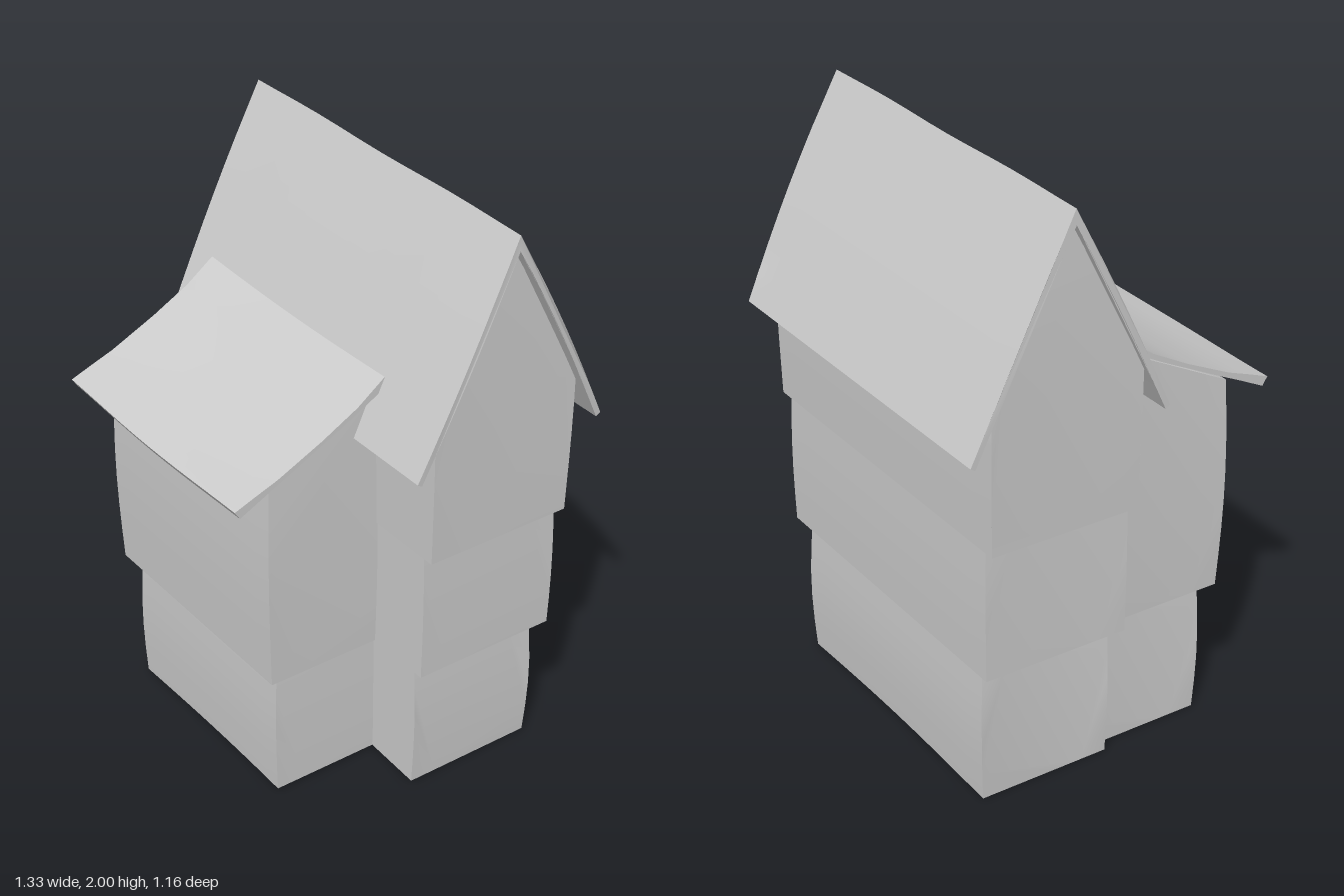
import * as THREE from 'three';
import { toCreasedNormals } from 'three/addons/utils/BufferGeometryUtils.js';

const material = new THREE.MeshStandardMaterial({ color: 0xcccccc });

// Extrudes a side profile of [z, y] points from x0 to x1, then bends it by warp(v).
function prism(name, profile, x0, x1, warp) {
  const pts = [];
  profile.forEach(([z, y], i) => {
    const [z2, y2] = profile[(i + 1) % profile.length];
    const n = Math.max(1, Math.round(Math.hypot(z2 - z, y2 - y) / 0.1));
    for (let k = 0; k < n; k++) {
      const t = k / n;
      pts.push(new THREE.Vector2(-(z + (z2 - z) * t), y + (y2 - y) * t));
    }
  });
  const geo = new THREE.ExtrudeGeometry(new THREE.Shape(pts), {
    depth: x1 - x0, steps: 12, bevelEnabled: false,
  });
  geo.rotateY(Math.PI / 2).translate(x0, 0, 0);
  const pos = geo.attributes.position;
  const v = new THREE.Vector3();
  for (let i = 0; i < pos.count; i++) {
    v.fromBufferAttribute(pos, i);
    warp(v);
    pos.setXYZ(i, v.x, v.y, v.z);
  }
  const mesh = new THREE.Mesh(toCreasedNormals(geo, 0.5), material);
  mesh.name = name;
  return mesh;
}

const rect = (z0, z1, y0, y1) => [[z0, y0], [z1, y0], [z1, y1], [z0, y1]];

// Soft hand-made swelling of the walls between two heights.
const swell = (y0, y1, amount, lift = 0) => (v) => {
  const h = THREE.MathUtils.clamp((v.y - y0) / (y1 - y0), 0, 1);
  const s = Math.sin(Math.PI * h) * amount;
  const mid = Math.cos(v.x * 2.9);
  v.x += Math.sign(v.x) * s * Math.min(1, Math.abs(v.x) * 2);
  v.z += (v.z > 0.1 ? 1 : v.z < -0.2 ? -1 : 0) * s;
  v.y += lift * mid * (1 - h);
};

export function createModel() {
  const house = new THREE.Group();
  house.name = 'house';

  // Main block: three storeys, each overhanging the one below
  house.add(
    prism('groundStorey', rect(-0.46, 0.005, 0.005, 0.5), -0.535, 0.505, swell(0, 0.5, 0.01, 0.015)),
    prism('middleStorey', rect(-0.482, 0.03, 0.485, 0.96), -0.592, 0.572, swell(0.48, 0.96, 0.004)),
    prism('gableStorey',
      [[-0.488, 0.945], [0.035, 0.945], [0.04, 1.42], [-0.225, 1.955], [-0.485, 1.42]],
      -0.635, 0.615, swell(0.95, 1.9, 0.008)),
  );

  // Front wing: narrower base and a tall upper room with a sloping top
  house.add(
    prism('wingBase', rect(-0.1, 0.385, 0.005, 0.5), -0.495, 0.292, swell(0, 0.5, 0.008, 0.015)),
    prism('wingRoom',
      [[-0.1, 0.485], [0.43, 0.485], [0.43, 1.225], [0.3, 1.295], [0.03, 1.43], [-0.1, 1.43]],
      -0.535, 0.332, swell(0.48, 1.3, 0.012)),
  );

  // Steep main roof: a thin folded slab with slightly bowed ends
  house.add(prism('mainRoof',
    [[-0.225, 2], [-0.578, 1.285], [-0.562, 1.275], [-0.225, 1.95], [0.107, 1.275], [0.123, 1.285]],
    -0.665, 0.65, (v) => {
      const s = Math.sin(Math.PI * THREE.MathUtils.clamp((v.y - 1.28) / 0.72, 0, 1));
      const out = 0.012 * s;
      v.x += v.x > 0 ? out * v.x * 1.6 : out * v.x * 0.6;
      v.z += (v.z > -0.225 ? 1 : -1) * 0.005 * s;
      v.y -= 0.005 * Math.cos(v.x * 9) * (v.y > 1.9 ? 0.5 : 0);
    }));

  // Shallow lean-to roof over the wing, sagging towards the eave
  house.add(prism('wingRoof',
    [[0.0, 1.495], [0.0, 1.46], [0.17, 1.37], [0.36, 1.275], [0.56, 1.18],
      [0.578, 1.208], [0.42, 1.265], [0.26, 1.34], [0.13, 1.41], [0.035, 1.48]],
    -0.567, 0.363, (v) => {
      v.y -= 0.006 * Math.cos((v.x + 0.1) * 3.3);
      v.z += v.z > 0.5 ? 0.004 * Math.cos((v.x + 0.1) * 6) : 0;
    }));

  return house;
}
